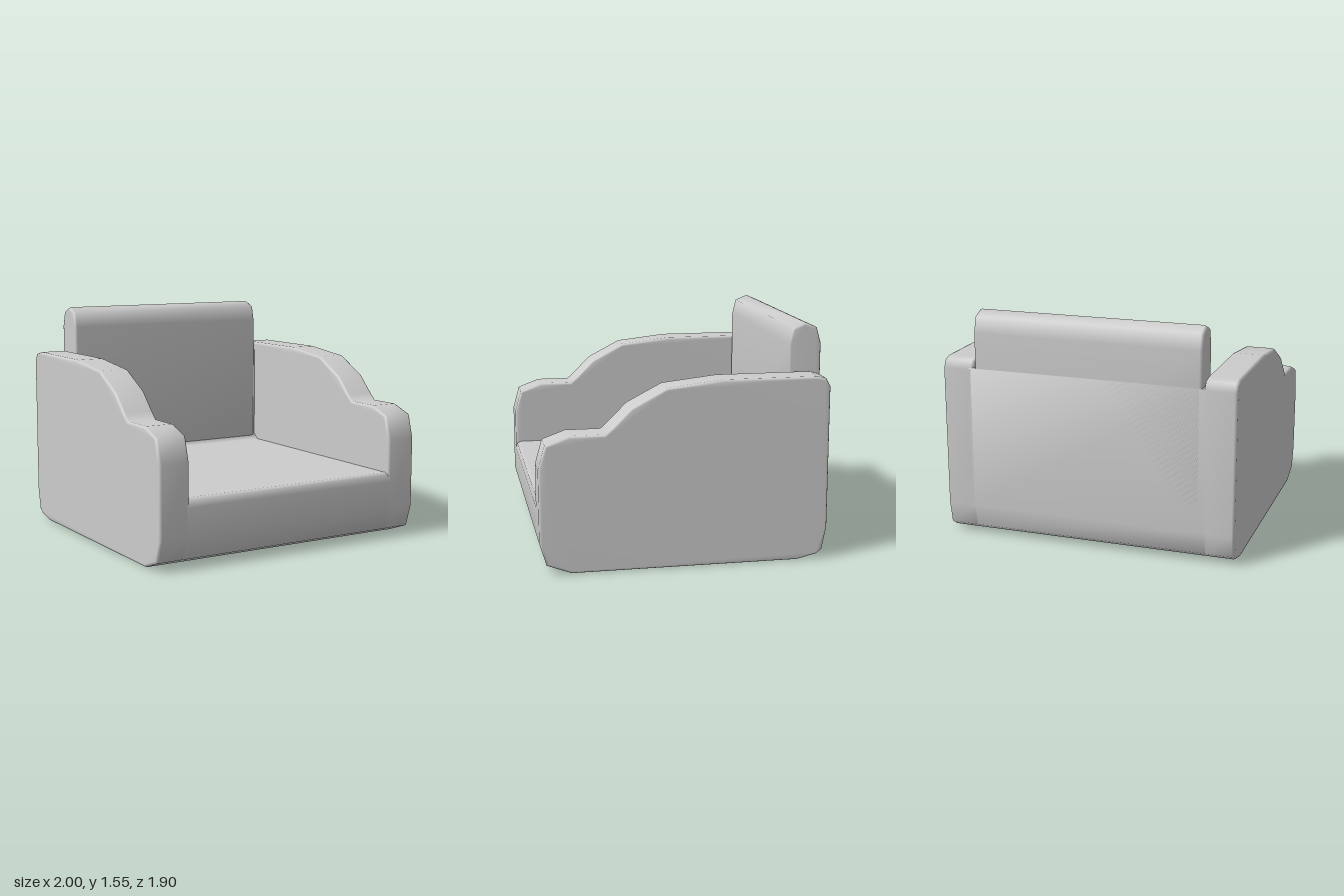
import * as THREE from 'three';
import { mergeVertices } from 'three/addons/utils/BufferGeometryUtils.js';

// Extrudes a [z, y] side profile across x, with rounded edges and smooth normals.
function sideExtrusion(points, width, bevel) {
  const shape = new THREE.Shape(points.map(([z, y]) => new THREE.Vector2(z, y)));
  let geo = new THREE.ExtrudeGeometry(shape, {
    depth: width - 2 * bevel, bevelEnabled: true, bevelSegments: 2,
    bevelSize: bevel, bevelThickness: bevel, bevelOffset: -bevel,
  });
  geo.translate(0, 0, bevel - width / 2);
  geo.rotateY(-Math.PI / 2);
  geo.deleteAttribute('normal');
  geo.deleteAttribute('uv');
  geo = mergeVertices(geo, 1e-4);
  geo.computeVertexNormals();
  return geo;
}

export function createModel() {
  const group = new THREE.Group();
  group.name = 'armchair';
  const fabric = new THREE.MeshStandardMaterial({ color: 0xcccccc });
  fabric.name = 'grey upholstery';

  function add(name, geo, x = 0) {
    const mesh = new THREE.Mesh(geo, fabric);
    mesh.name = name;
    mesh.position.x = x;
    group.add(mesh);
  }

  // Underside and lower back shared by the arms and the body
  const bottom = [
    [-0.95, 0.21], [-0.92, 0.06], [-0.88, 0.03], [-0.75, 0],
    [0.75, 0], [0.91, 0.06], [0.955, 0.21],
  ];

  // Arms: low rounded front, sweeping up to the back
  const arm = sideExtrusion([
    ...bottom,
    [0.955, 0.69], [0.91, 0.85], [0.76, 0.905], [0.53, 0.905],
    [0.48, 0.95], [0.36, 1.07], [0.13, 1.19], [-0.23, 1.23],
    [-0.86, 1.23], [-0.92, 1.215], [-0.95, 1.16],
  ], 0.215, 0.018);
  add('leftArm', arm, 0.8925);
  add('rightArm', arm, -0.8925);

  // Seat body with the lower part of the back
  add('seatBody', sideExtrusion([
    ...bottom,
    [0.955, 0.4], [0.947, 0.448], [0.92, 0.46],
    [-0.7, 0.46], [-0.745, 0.5], [-0.745, 1.17], [-0.95, 1.17],
  ], 1.66, 0.018), 0);

  // Backrest with a rounded top
  add('backrest', sideExtrusion([
    [-0.95, 0.4], [-0.73, 0.4], [-0.73, 1.41], [-0.755, 1.515],
    [-0.84, 1.55], [-0.92, 1.515], [-0.95, 1.41],
  ], 1.545, 0.018), 0);

  return group;
}
